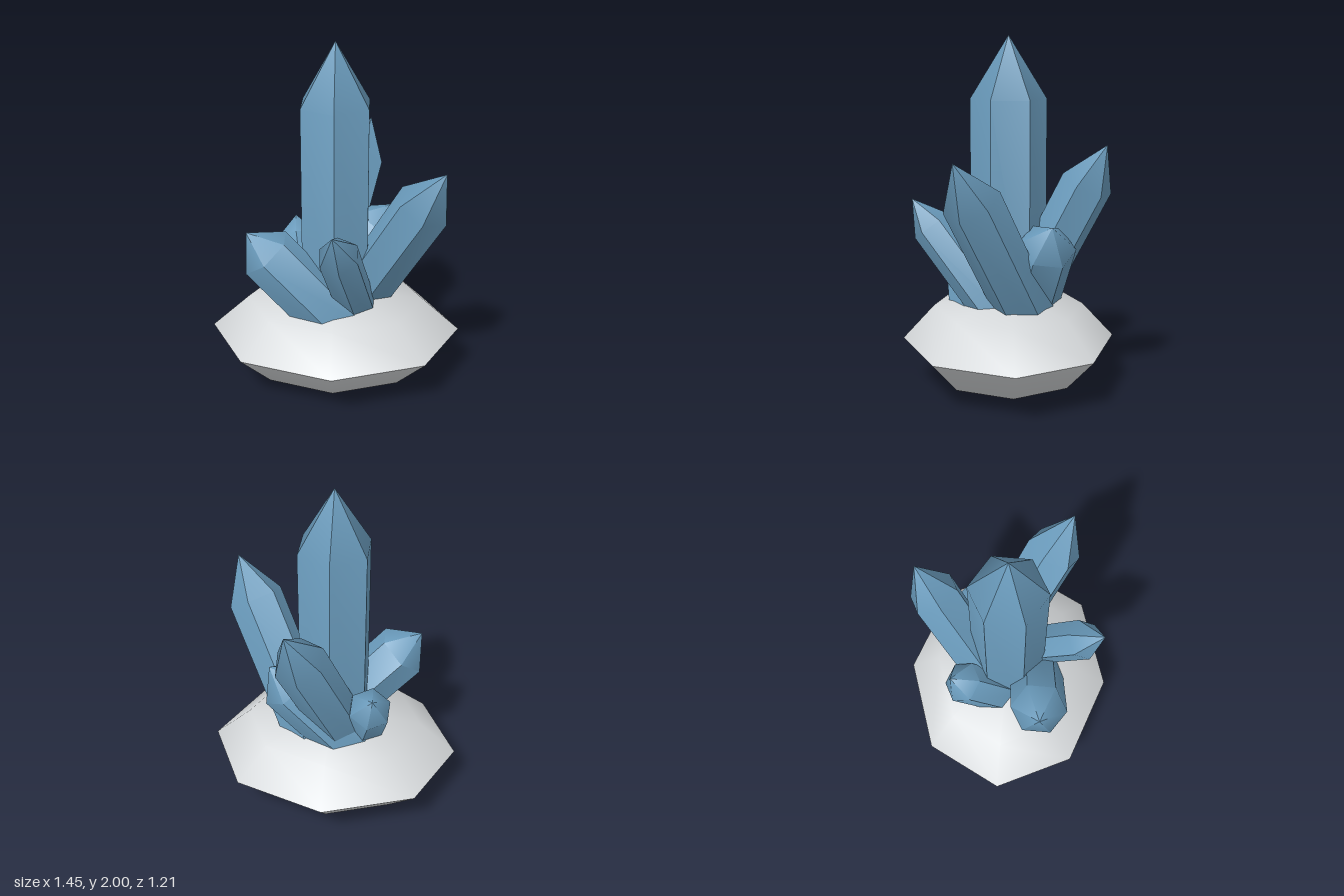
import * as THREE from 'three';
import { toCreasedNormals } from 'three/addons/utils/BufferGeometryUtils.js';

const CREASE = THREE.MathUtils.degToRad(48);
const UP = new THREE.Vector3(0, 1, 0);

const crystalBlue = new THREE.MeshStandardMaterial({ color: 0x6a9bbc });
crystalBlue.name = 'crystalBlue';
const stoneGrey = new THREE.MeshStandardMaterial({ color: 0xd5d8da });
stoneGrey.name = 'stoneGrey';

// Six-sided pointed crystal; origin at the shoulder centre, body running down, tip up
function crystal(name, radius, tip, shoulder, direction, rootY) {
  const dir = new THREE.Vector3(...direction).normalize();
  const body = (shoulder[1] - rootY) / dir.y;
  const profile = [[0, -body], [radius, -body], [radius, 0], [0, tip]]
    .map(([x, y]) => new THREE.Vector2(x, y));
  const geometry = toCreasedNormals(new THREE.LatheGeometry(profile, 6), CREASE);
  const mesh = new THREE.Mesh(geometry, crystalBlue);
  mesh.name = name;
  mesh.position.set(...shoulder);
  mesh.quaternion.setFromUnitVectors(UP, dir);
  return mesh;
}

export function createModel() {
  const group = new THREE.Group();
  group.name = 'crystalCluster';

  // Flattened faceted rock
  const rock = new THREE.SphereGeometry(1, 8, 4);
  rock.scale(0.727, 0.272, 0.607);
  const base = new THREE.Mesh(toCreasedNormals(rock, CREASE), stoneGrey);
  base.name = 'rockBase';
  base.position.y = 0.275;
  group.add(base);

  // name, radius, tip length, shoulder centre, direction, root height
  const crystals = [
    ['mainCrystal', 0.215, 0.35, [0, 1.65, 0], [0, 1, 0], 0.3],
    ['tallLeftCrystal', 0.16, 0.265, [0.49, 1.148, 0.217], [0.5, 1, 0.44], 0.35],
    ['tallBackCrystal', 0.148, 0.25, [0.133, 1.19, -0.43], [0.28, 1, -0.46], 0.35],
    ['frontCrystal', 0.118, 0.19, [0.033, 0.938, 0.434], [-0.2, 1, 0.73], 0.35],
    ['bluntRightCrystal', 0.163, 0.165, [-0.378, 0.85, 0.21], [-0.65, 0.75, 0.06], 0.35],
    ['bluntBackLeftCrystal', 0.163, 0.155, [0.245, 0.858, -0.2], [0.6, 0.78, -0.12], 0.35],
    ['smallBackCrystal', 0.124, 0.122, [-0.232, 0.76, -0.247], [-0.15, 0.83, -0.54], 0.35],
  ];
  for (const c of crystals) group.add(crystal(...c));

  return group;
}
